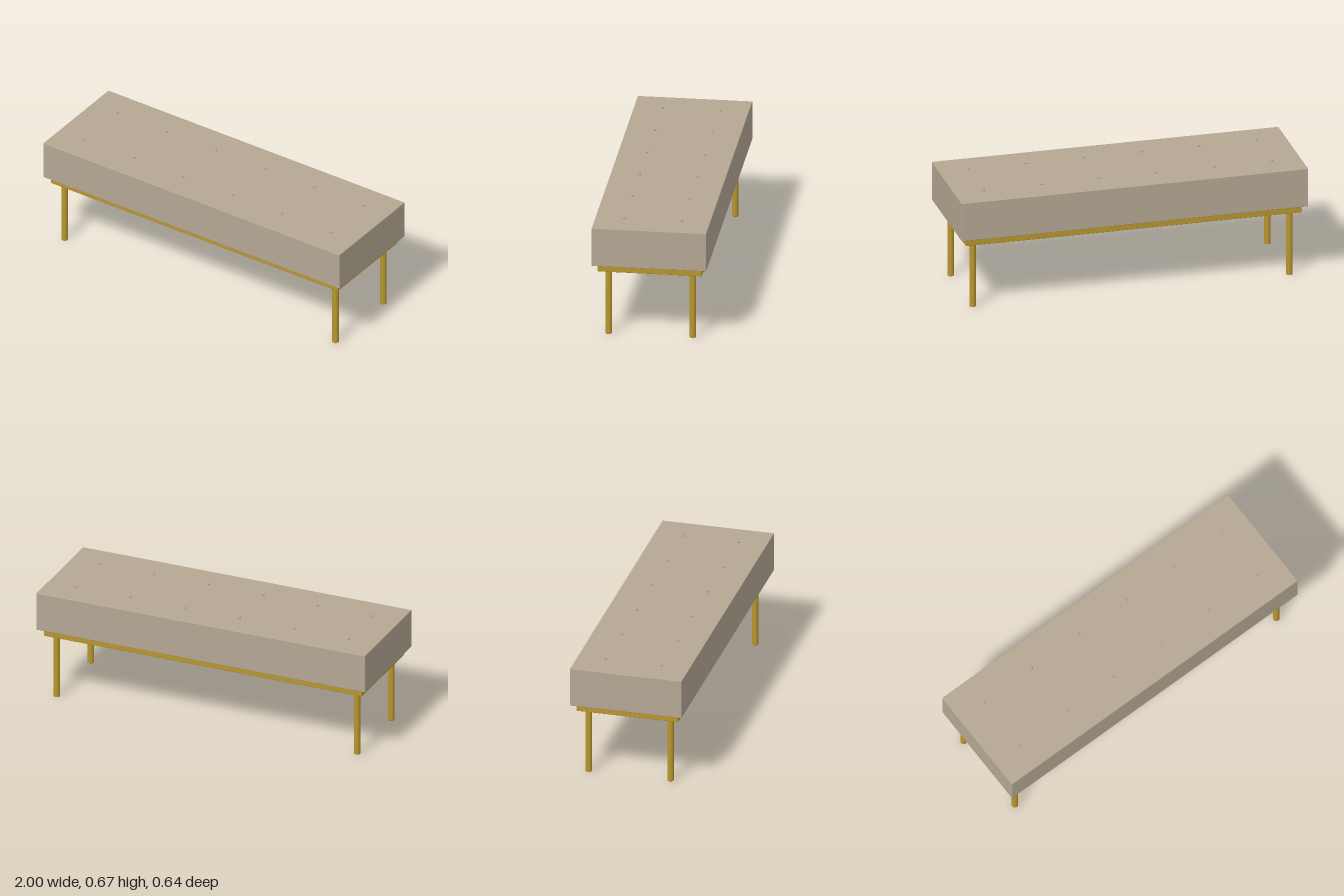
import * as THREE from 'three';
import { RoundedBoxGeometry } from 'three/addons/geometries/RoundedBoxGeometry.js';

export function createModel() {
  const bench = new THREE.Group();
  bench.name = 'bench';
  const fabric = new THREE.MeshStandardMaterial({ color: 0xb5a894 });
  const brass = new THREE.MeshStandardMaterial({ color: 0xb8962e });

  const add = (name, geometry, material, x, y, z) => {
    const mesh = new THREE.Mesh(geometry, material);
    mesh.name = name;
    mesh.position.set(x, y, z);
    bench.add(mesh);
  };

  // Cushion and the slab that carries it, with slightly softened edges
  add('cushion', new RoundedBoxGeometry(2, 0.227, 0.644, 2, 0.003), fabric, 0, 0.5445, 0);
  add('baseFrame', new RoundedBoxGeometry(1.936, 0.044, 0.586, 2, 0.003), brass, 0, 0.409, 0);

  // Round legs with a small chamfer at both ends
  const r = 0.0185, c = 0.002, h = 0.388;
  const profile = [[0, 0], [r - c, 0], [r, c], [r, h - c], [r - c, h], [0, h]];
  const legGeometry = new THREE.CylinderGeometry(r, r, h - 2 * c, 32, 1, true);
  legGeometry.translate(0, h / 2, 0);
  const endGeometry = new THREE.LatheGeometry(
    profile.slice(0, 3).map(([x, y]) => new THREE.Vector2(x, y)), 32);
  for (const sx of [-1, 1]) {
    for (const sz of [-1, 1]) {
      const side = (sz > 0 ? 'front' : 'back') + (sx > 0 ? 'Left' : 'Right');
      add(side + 'Leg', legGeometry, brass, sx * 0.914, 0, sz * 0.236);
      add(side + 'Foot', endGeometry, brass, sx * 0.914, 0, sz * 0.236);
    }
  }

  // Two rows of six tufting buttons
  const buttonGeometry = new THREE.SphereGeometry(0.0085, 20, 14);
  for (const z of [-0.161, 0.161]) {
    for (let i = 0; i < 6; i++) {
      add('button', buttonGeometry, fabric, (i - 2.5) * 0.332, 0.6615, z);
    }
  }
  return bench;
}
